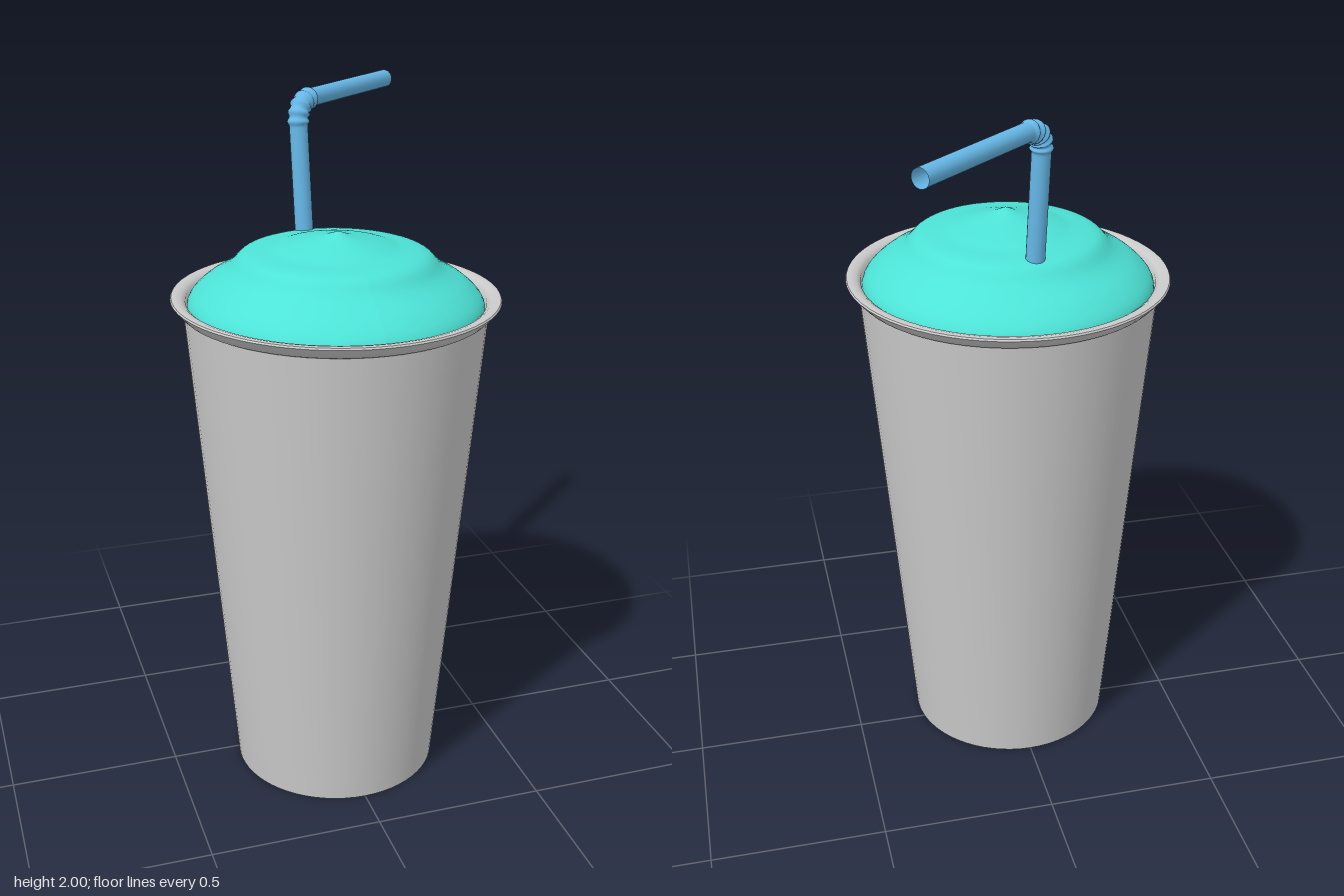
import * as THREE from 'three';
import { mergeVertices, toCreasedNormals } from 'three/addons/utils/BufferGeometryUtils.js';

const CUP_Z = 0.067; // the cup sits forward of the centre, the straw reaches back

// Lathe from [radius, y] pairs; the circle stretches slightly in z with height
function turned(profile, crease) {
  const points = profile.map(([r, y]) => new THREE.Vector2(r, y));
  let geo = new THREE.LatheGeometry(points, 64);
  const p = geo.attributes.position;
  for (let i = 0; i < p.count; i++) {
    p.setZ(i, p.getZ(i) * (1 + 0.04 * p.getY(i) / 1.45));
  }
  if (crease) geo = toCreasedNormals(geo, crease);
  return geo;
}

// Round tube along a path with a ribbed stretch between two fractions of its length
function ribbedTube(path, radius, from, to, ribs) {
  const segments = 260, sides = 18;
  let geo = new THREE.TubeGeometry(path, segments, radius, sides, false);
  const p = geo.attributes.position;
  const v = new THREE.Vector3();
  for (let i = 0; i <= segments; i++) {
    const t = i / segments;
    if (t < from || t > to) continue;
    const phase = (t - from) / (to - from) * ribs * Math.PI * 2;
    const factor = 1 + 0.11 * (1 - Math.cos(phase));
    const centre = path.getPointAt(t);
    for (let j = 0; j <= sides; j++) {
      const k = i * (sides + 1) + j;
      v.fromBufferAttribute(p, k).sub(centre).multiplyScalar(factor).add(centre);
      p.setXYZ(k, v.x, v.y, v.z);
    }
  }
  geo.deleteAttribute('uv');
  geo.deleteAttribute('normal');
  geo = mergeVertices(geo, 1e-5);
  geo.computeVertexNormals();
  return geo;
}

function part(name, geometry, color) {
  const material = new THREE.MeshStandardMaterial({ color, side: THREE.DoubleSide });
  const mesh = new THREE.Mesh(geometry, material);
  mesh.name = name;
  return mesh;
}

export function createModel() {
  const model = new THREE.Group();
  model.name = 'frozenDrink';

  // Tapered cup with a closed base
  const cup = part('cup', turned([[0, 0], [0.302, 0], [0.426, 1.45]], 0.6), 0xcccccc);

  // Flared lip
  const rim = part('rim', turned([
    [0.424, 1.438], [0.433, 1.442], [0.448, 1.458], [0.46, 1.473], [0.457, 1.478],
    [0.445, 1.479], [0.43, 1.475], [0.418, 1.466], [0.414, 1.44],
  ], 0.9), 0xcccccc);

  // Swirled topping: soft tiers rising to a small peak
  const outline = new THREE.SplineCurve([
    [0.414, 1.44], [0.412, 1.462], [0.396, 1.487], [0.36, 1.518], [0.318, 1.543], [0.292, 1.562],
    [0.265, 1.59], [0.235, 1.602], [0.18, 1.61], [0.145, 1.62], [0.09, 1.634],
    [0.045, 1.645], [0.018, 1.655], [0, 1.662],
  ].map(([r, y]) => new THREE.Vector2(r, y)));
  const swirl = turned(outline.getPoints(48).map((q) => [Math.max(q.x, 0), q.y]));
  // The peak leans forward
  const p = swirl.attributes.position;
  for (let i = 0; i < p.count; i++) {
    const r = Math.hypot(p.getX(i), p.getZ(i));
    p.setZ(i, p.getZ(i) + 0.027 * Math.max(0, 1 - r / 0.15));
  }
  swirl.computeVertexNormals();
  const topping = part('topping', swirl, 0x4de2d6);

  for (const mesh of [cup, rim, topping]) {
    mesh.position.z = CUP_Z;
    model.add(mesh);
  }

  // Bending straw: upright, ribbed elbow, then a long mouthpiece to the back left
  const a = new THREE.Vector3(-0.015, 1.4, -0.155);
  const b = new THREE.Vector3(-0.03, 1.9, -0.187);
  const corner = new THREE.Vector3(-0.033, 1.967, -0.19);
  const d = new THREE.Vector3(0.02, 1.968, -0.236);
  const e = new THREE.Vector3(0.345, 1.964, -0.527);
  const path = new THREE.CurvePath();
  path.add(new THREE.LineCurve3(a, b));
  path.add(new THREE.QuadraticBezierCurve3(b, corner, d));
  path.add(new THREE.LineCurve3(d, e));
  const lengths = path.getCurveLengths();
  const total = lengths[2];
  model.add(part('straw',
    ribbedTube(path, 0.0265, lengths[0] / total, lengths[1] / total, 5), 0x66b8e8));

  return model;
}
